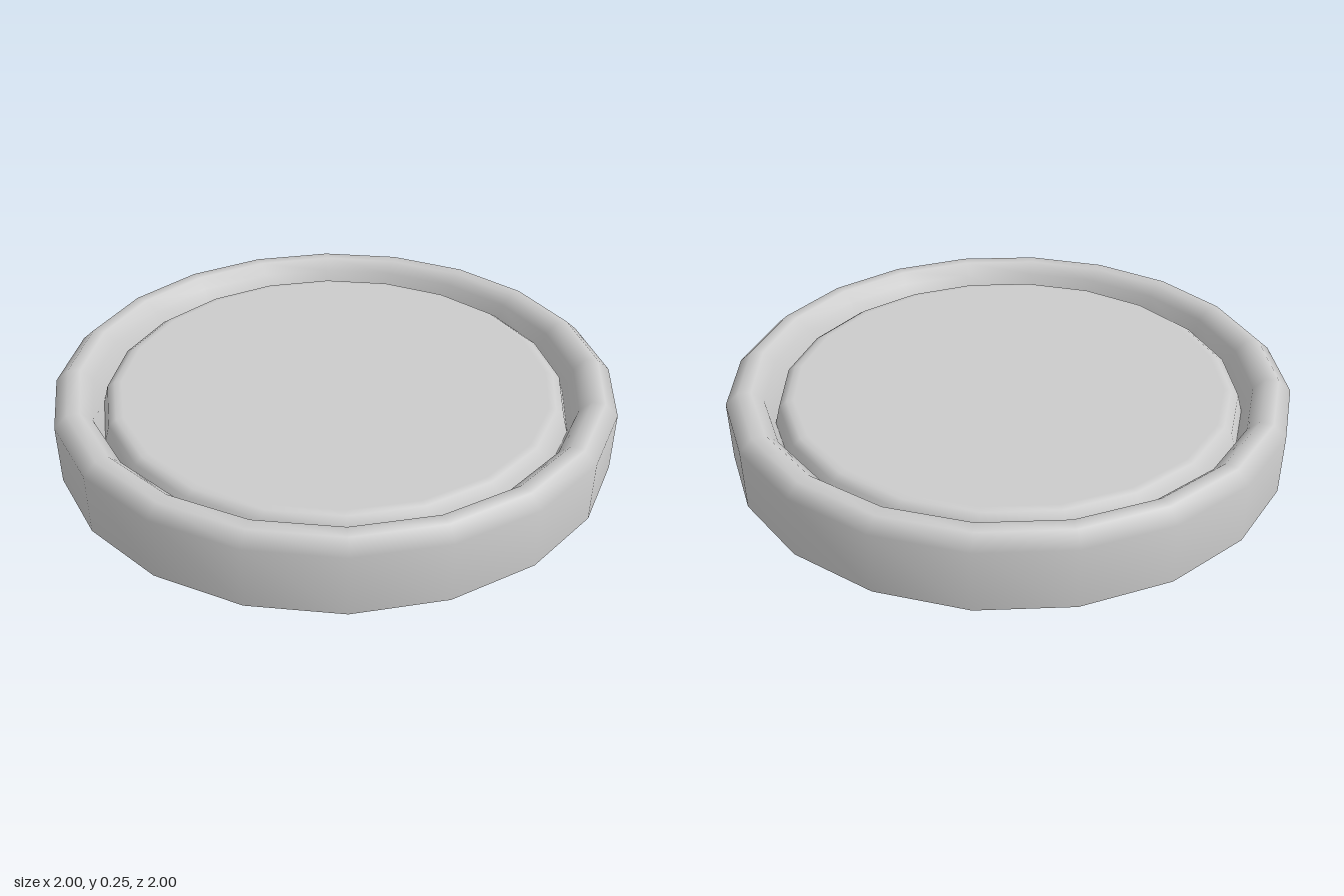
import * as THREE from 'three';

const SIDES = 20;
const material = new THREE.MeshStandardMaterial({ color: 0xcccccc });

// Turned part from [radius, height] points, with smooth normals inside each part
function turned(name, profile) {
  const points = profile.map(([r, y]) => new THREE.Vector2(r, y));
  const mesh = new THREE.Mesh(new THREE.LatheGeometry(points, SIDES), material);
  mesh.name = name;
  return mesh;
}

export function createModel() {
  const group = new THREE.Group();
  group.name = 'roundDish';

  // Outer wall, rounded lip and the slope down into the groove
  group.add(turned('rim', [
    [1, 0], [1, 0.215], [0.955, 0.255], [0.91, 0.255], [0.87, 0.215], [0.84, 0.12],
  ]));

  // Raised disc with a bevelled edge, set inside the rim
  group.add(turned('innerDisc', [
    [0.84, 0.12], [0.822, 0.185], [0.795, 0.203], [0.77, 0.205], [0, 0.205],
  ]));

  // Flat underside
  group.add(turned('base', [[0, 0], [1, 0]]));

  return group;
}
